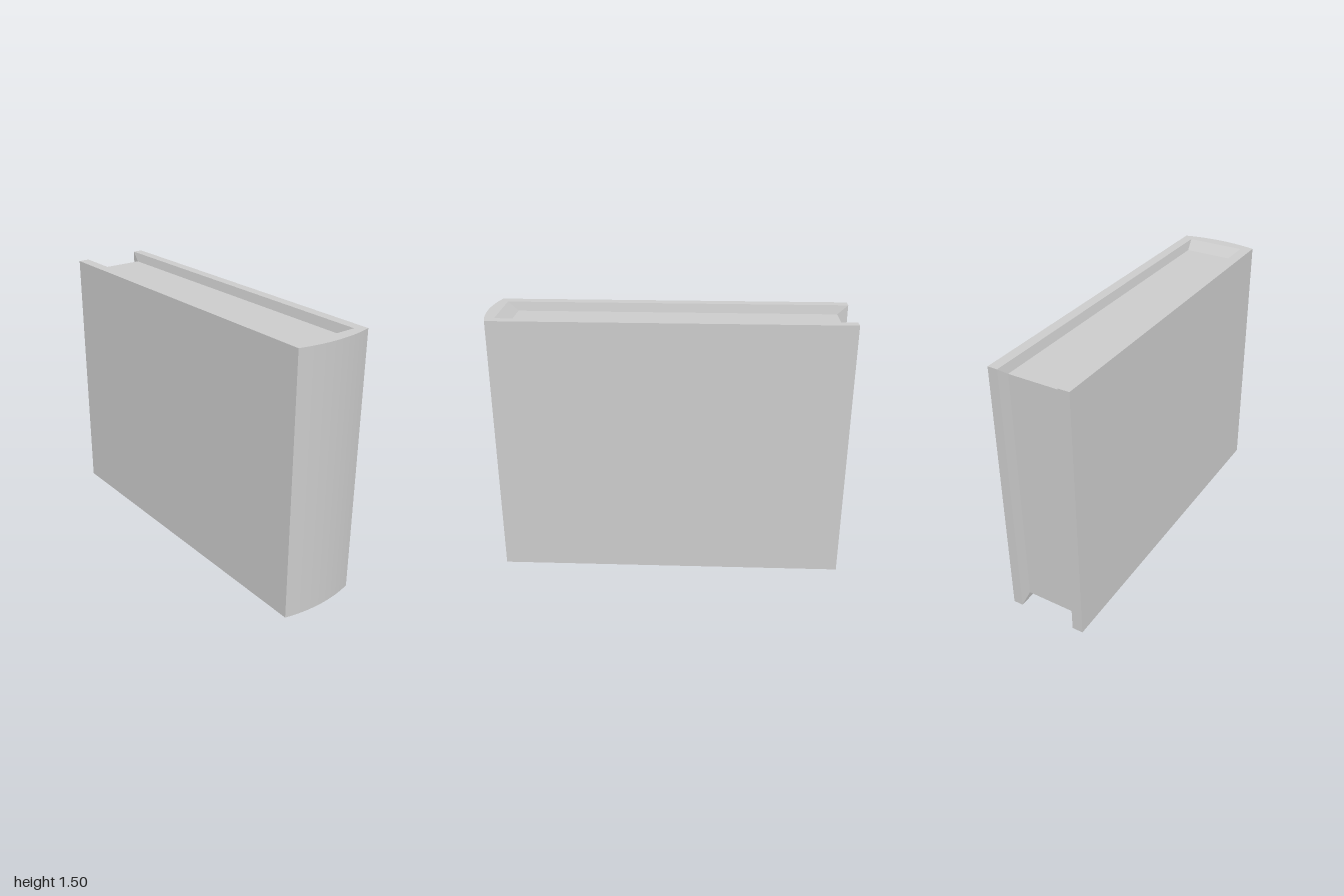
import * as THREE from 'three';
import { toCreasedNormals } from 'three/addons/utils/BufferGeometryUtils.js';

const H = 1.5;          // book height
const HALF = 0.228;     // half thickness
const DEPTH = 0.05;     // recess of the page edges at head and tail
const material = new THREE.MeshStandardMaterial({ color: 0xcccccc });

// Inner limits of the cover rim, and of the recessed page block
const rim = { x0: -1, x1: 0.93, y0: 0, y1: H, z0: -0.172, z1: 0.165 };
const block = { x0: -0.94, x1: 0.87, y0: DEPTH, y1: H - DEPTH, z0: -0.161, z1: 0.154 };

// Closed loop: along the front board's three free edges, then back along the rear board's
function edgeLoop({ x0, x1, y0, y1, z0, z1 }) {
  const path = [[x1, y0], [x0, y0], [x0, y1], [x1, y1]];
  const front = path.map(([x, y]) => [x, y, z1]);
  const back = path.map(([x, y]) => [x, y, z0]).reverse();
  return [...front, ...back];
}

// Flat-shaded band joining two loops of the same length
function band(outer, inner) {
  const pos = [];
  outer.forEach((a, i) => {
    const j = (i + 1) % outer.length;
    pos.push(...a, ...outer[j], ...inner[i], ...outer[j], ...inner[j], ...inner[i]);
  });
  const geo = new THREE.BufferGeometry();
  geo.setAttribute('position', new THREE.Float32BufferAttribute(pos, 3));
  geo.computeVertexNormals();
  return geo;
}

export function createModel() {
  const book = new THREE.Group();
  book.name = 'book';
  const add = (name, geometry) => {
    const mesh = new THREE.Mesh(geometry, material);
    mesh.name = name;
    book.add(mesh);
    return mesh;
  };

  // Cover: two boards and a gently rounded spine, drawn from above as a U
  const sag = 0.03;
  const radius = (HALF ** 2 + sag ** 2) / (2 * sag);
  const angle = Math.asin(HALF / radius);
  const shape = new THREE.Shape();
  shape.moveTo(-1, -HALF);
  shape.lineTo(1 - sag, -HALF);
  shape.absarc(1 - radius, 0, radius, -angle, angle, false);
  shape.lineTo(-1, HALF);
  shape.lineTo(-1, -rim.z0);
  shape.lineTo(rim.x1, -rim.z0);
  shape.lineTo(rim.x1, -rim.z1);
  shape.lineTo(-1, -rim.z1);
  shape.closePath();
  const cover = new THREE.ExtrudeGeometry(shape, { depth: H, bevelEnabled: false, curveSegments: 16 });
  cover.rotateX(-Math.PI / 2);
  add('cover', toCreasedNormals(cover, 0.5));

  // Sloping inner faces from the cover rim down to the pages
  add('coverLining', band(edgeLoop(rim), edgeLoop(block)));

  // Page block
  const { x0, x1, y0, y1, z0, z1 } = block;
  const pages = add('pages', new THREE.BoxGeometry(x1 - x0, y1 - y0, z1 - z0));
  pages.position.set((x0 + x1) / 2, (y0 + y1) / 2, (z0 + z1) / 2);

  return book;
}
